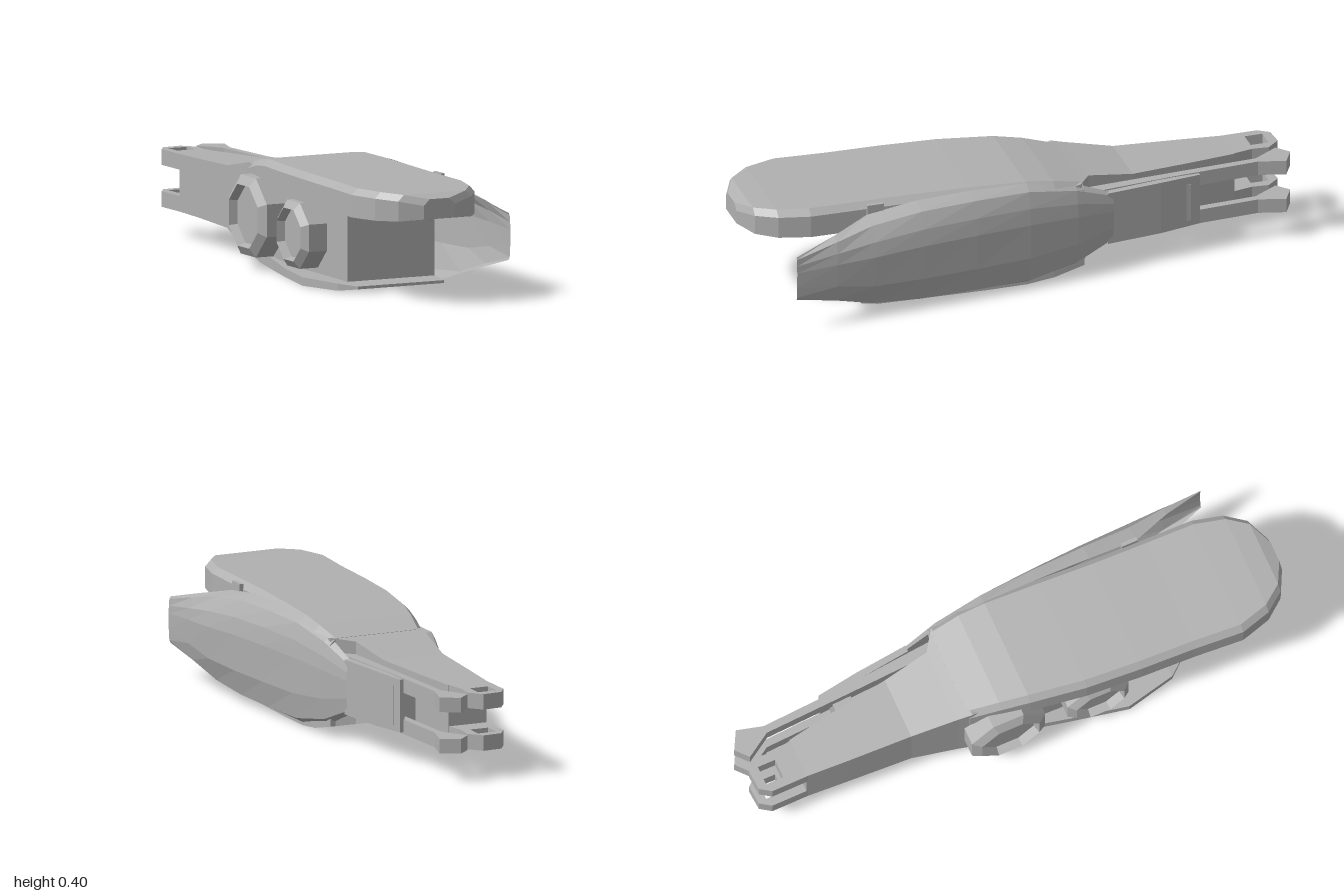
import * as THREE from 'three';

const shellGrey = new THREE.MeshStandardMaterial({ color: 0xb0b0b0, flatShading: true, side: THREE.DoubleSide });
shellGrey.name = 'shellGrey';

// Joins cross-sections listed from front to back; closed rings get end caps
function loft(rings, closed = true) {
  const n = rings[0].length, pos = [], idx = [];
  rings.forEach(r => r.forEach(p => pos.push(...p)));
  for (let i = 0; i < rings.length - 1; i++) {
    for (let j = 0; j < (closed ? n : n - 1); j++) {
      const k = (j + 1) % n;
      const a = i * n + j, b = i * n + k, c = a + n, d = b + n;
      idx.push(a, c, d, a, d, b);
    }
  }
  if (closed) {
    const e = (rings.length - 1) * n;
    for (let j = 1; j < n - 1; j++) idx.push(0, j, j + 1, e, e + j + 1, e + j);
  }
  const g = new THREE.BufferGeometry();
  g.setAttribute('position', new THREE.Float32BufferAttribute(pos, 3));
  g.setIndex(idx);
  const flat = g.toNonIndexed();
  flat.computeVertexNormals();
  return flat;
}

// Four-sided section
const rect = ([z, xl, xr, yb, yt]) => [[xl, yb, z], [xr, yb, z], [xr, yt, z], [xl, yt, z]];

// Section with its upper corners cut off
const bevelled = ([z, xl, xr, yb, yt]) => {
  const s = 0.022;
  return [[xl, yb, z], [xr, yb, z], [xr, yt - s, z], [xr - s, yt, z], [xl + s, yt, z], [xl, yt - s, z]];
};

// Flat slab from an x/z outline, hanging down from the given height
function slab(points, yTop, depth, hole) {
  const shape = new THREE.Shape(points.map(p => new THREE.Vector2(...p)));
  if (hole) shape.holes.push(new THREE.Path(hole.map(p => new THREE.Vector2(...p))));
  return new THREE.ExtrudeGeometry(shape, { depth, bevelEnabled: false })
    .rotateX(Math.PI / 2).translate(0, yTop, 0);
}

export function createModel() {
  const model = new THREE.Group();
  model.name = 'mechanicalArm';
  const add = (name, geometry) => {
    const m = new THREE.Mesh(geometry, shellGrey);
    m.name = name;
    model.add(m);
    return m;
  };

  // Top cover with a rounded nose, sloping down to the tail
  add('topCover', loft([
    [1.0, -0.12, 0.0, 0.305, 0.375],
    [0.96, -0.2, 0.085, 0.298, 0.39],
    [0.89, -0.255, 0.135, 0.296, 0.395],
    [0.78, -0.287, 0.162, 0.295, 0.396],
    [0.6, -0.275, 0.165, 0.295, 0.396],
    [0.4, -0.268, 0.17, 0.295, 0.397],
    [0.2, -0.255, 0.18, 0.295, 0.397],
    [0.0, -0.225, 0.19, 0.29, 0.393],
    [-0.1, -0.205, 0.19, 0.285, 0.38],
    [-0.21, -0.18, 0.18, 0.27, 0.355],
  ].map(bevelled)));

  // Core block narrowing into the tail
  add('core', loft([
    [0.52, -0.17, 0.17, 0.01, 0.3],
    [0.0, -0.17, 0.18, 0.01, 0.3],
    [-0.2, -0.18, 0.175, 0.04, 0.356],
    [-0.25, -0.172, 0.1, 0.052, 0.346],
    [-0.42, -0.152, 0.075, 0.095, 0.314],
    [-0.65, -0.143, 0.04, 0.1, 0.307],
    [-0.81, -0.135, 0.012, 0.1, 0.302],
  ].map(rect)));

  // Bottom cover
  add('bottomCover', loft([
    [0.6, -0.17, 0.165, 0.012, 0.022],
    [0.54, -0.22, 0.17, 0.003, 0.028],
    [0.36, -0.262, 0.172, 0, 0.03],
    [0.15, -0.22, 0.18, 0, 0.03],
    [0.0, -0.19, 0.185, 0.003, 0.04],
    [-0.1, -0.185, 0.185, 0.015, 0.06],
    [-0.21, -0.18, 0.178, 0.042, 0.1],
  ].map(rect)));

  // Bowed side panel: z, inner x, outer x, bottom y, top y
  add('sidePanel', loft([
    [0.87, 0.278, 0.285, 0.12, 0.285],
    [0.72, 0.235, 0.283, 0.075, 0.325],
    [0.58, 0.178, 0.277, 0.025, 0.36],
    [0.4, 0.175, 0.265, 0.008, 0.385],
    [0.2, 0.175, 0.25, 0.006, 0.392],
    [0.0, 0.175, 0.23, 0.008, 0.39],
    [-0.18, 0.165, 0.205, 0.045, 0.355],
    [-0.32, 0.15, 0.172, 0.11, 0.295],
  ].map(([z, xi, xo, yb, yt]) => {
    const h = yt - yb, w = xo - xi;
    return [
      [xi, yb, z], [xi + w * 0.62, yb + h * 0.06, z], [xo - w * 0.06, yb + h * 0.3, z],
      [xo, yb + h * 0.64, z], [xo - w * 0.1, yb + h * 0.8, z], [xi + w * 0.6, yt - h * 0.05, z], [xi, yt, z],
    ];
  }), false));

  // Small tab that joins top cover and side panel
  add('coverTab', new THREE.BoxGeometry(0.014, 0.12, 0.06).translate(0.172, 0.333, 0.55));

  // Faceted hubs on the open side, each with a recessed face
  const hubs = [['rearHub', -0.09, 0.185, 0.15], ['frontHub', 0.25, 0.165, 0.125]];
  for (const [name, z, y, r] of hubs) {
    const profile = [[0, 0.055], [r * 0.72, 0.055], [r * 0.78, 0.085], [r, 0.065], [r, -0.02], [0, -0.02]];
    const g = new THREE.LatheGeometry(profile.map(p => new THREE.Vector2(...p)).reverse(), 8);
    const hub = add(name, g.rotateY(Math.PI / 8).rotateZ(Math.PI / 2));
    hub.position.set(-0.175, y, z);
  }

  // Side strip beside the tail, with a cross brace
  add('tailStrip', loft([
    [-0.3, 0.145, 0.168, 0.105, 0.3],
    [-0.5, 0.12, 0.145, 0.105, 0.3],
    [-0.65, 0.105, 0.122, 0.11, 0.298],
  ].map(rect)));
  add('tailBrace', new THREE.BoxGeometry(0.1, 0.14, 0.07).translate(0.08, 0.2, -0.58));

  // Paired fork eyes and slim rods, upper and lower
  const eye = [[-0.135, -0.78], [-0.137, -0.94], [-0.11, -0.98], [-0.04, -0.985], [0, -0.94], [-0.005, -0.88], [0.015, -0.78]];
  const eyeHole = [[-0.105, -0.95], [-0.035, -0.95], [-0.035, -0.885], [-0.105, -0.885]];
  const rod = [[0.01, -0.96], [0.055, -1], [0.12, -0.965], [0.095, -0.87], [0.115, -0.55], [0.148, -0.21], [0.105, -0.21], [0.085, -0.55], [0.068, -0.87]];
  for (const [side, y] of [['upper', 0.302], ['lower', 0.155]]) {
    add(side + 'ForkEye', slab(eye, y, 0.055, eyeHole));
    add(side + 'Rod', slab(rod, y, 0.052));
  }

  return model;
}
